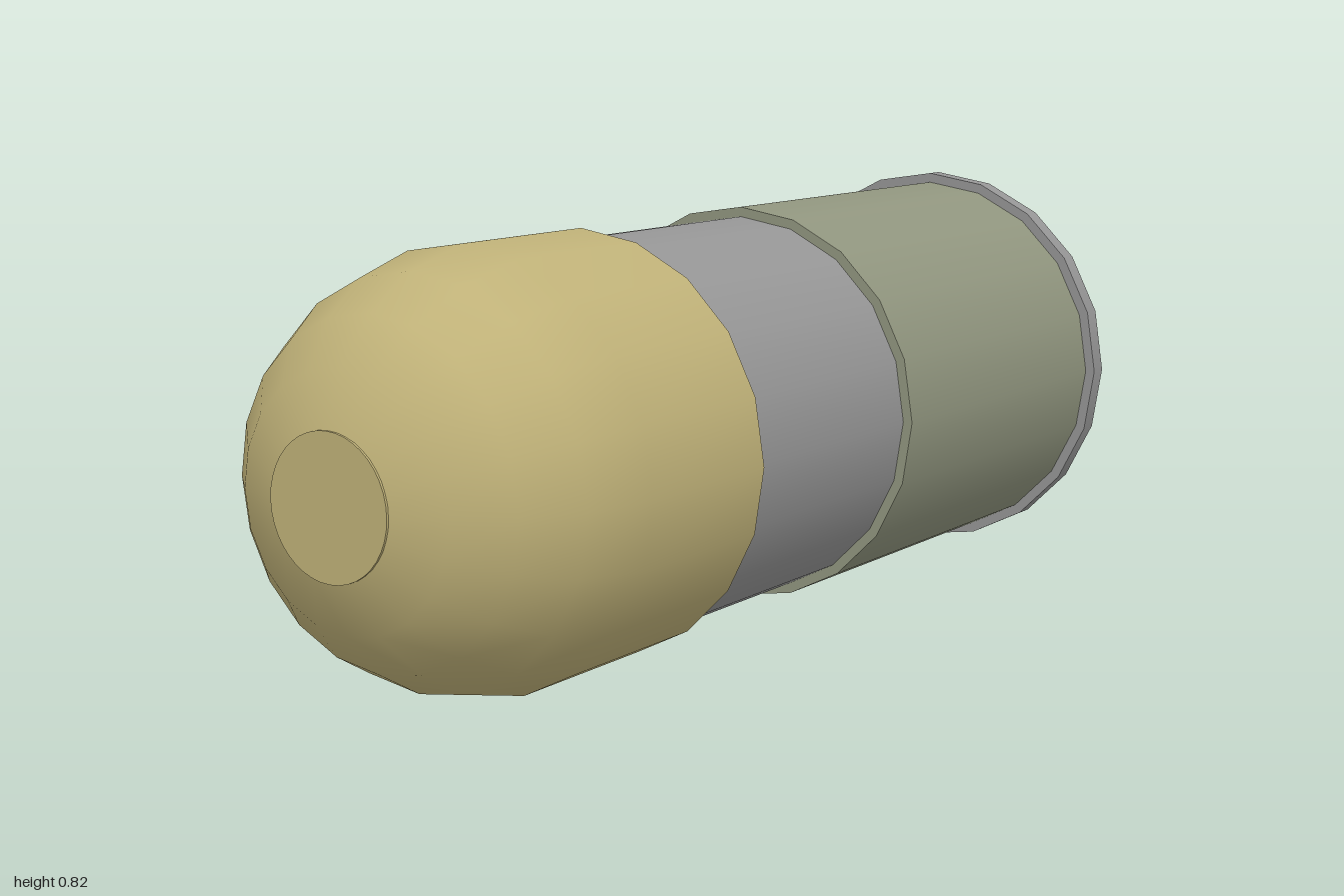
import * as THREE from 'three';

const SIDES = 20;
const AXIS_Y = 0.412;

export function createModel() {
  const group = new THREE.Group();
  const grey = new THREE.MeshStandardMaterial({ color: 0x969696 });
  const brass = new THREE.MeshStandardMaterial({ color: 0xbfb178 });
  const olive = new THREE.MeshStandardMaterial({ color: 0x91967f });

  function add(name, geometry, material, z) {
    const mesh = new THREE.Mesh(geometry, material);
    mesh.name = name;
    mesh.position.set(0, AXIS_Y, z);
    group.add(mesh);
  }

  // Closed cylinder lying along z, from z0 to z1
  function drum(name, radius, z0, z1, material, sides = SIDES) {
    const geometry = new THREE.CylinderGeometry(radius, radius, z1 - z0, sides).rotateX(Math.PI / 2);
    add(name, geometry, material, (z0 + z1) / 2);
  }

  drum('baseRim', 0.412, -1, -0.96, grey);
  drum('casing', 0.392, -0.96, -0.19, olive);
  drum('middleBand', 0.373, -0.19, 0.33, grey);

  // Rounded nose: smooth shell, flat round tip and rear face
  const profile = [
    [0.392, 0.33], [0.392, 0.66], [0.358, 0.79], [0.3, 0.89], [0.22, 0.963], [0.125, 0.996],
  ].map(([r, z]) => new THREE.Vector2(r, z));
  add('nose', new THREE.LatheGeometry(profile, SIDES).rotateX(Math.PI / 2), brass, 0);
  drum('noseTip', 0.125, 0.99, 1, brass, 40);
  add('noseRearFace', new THREE.CircleGeometry(0.392, SIDES).rotateY(Math.PI), brass, 0.33);

  return group;
}
